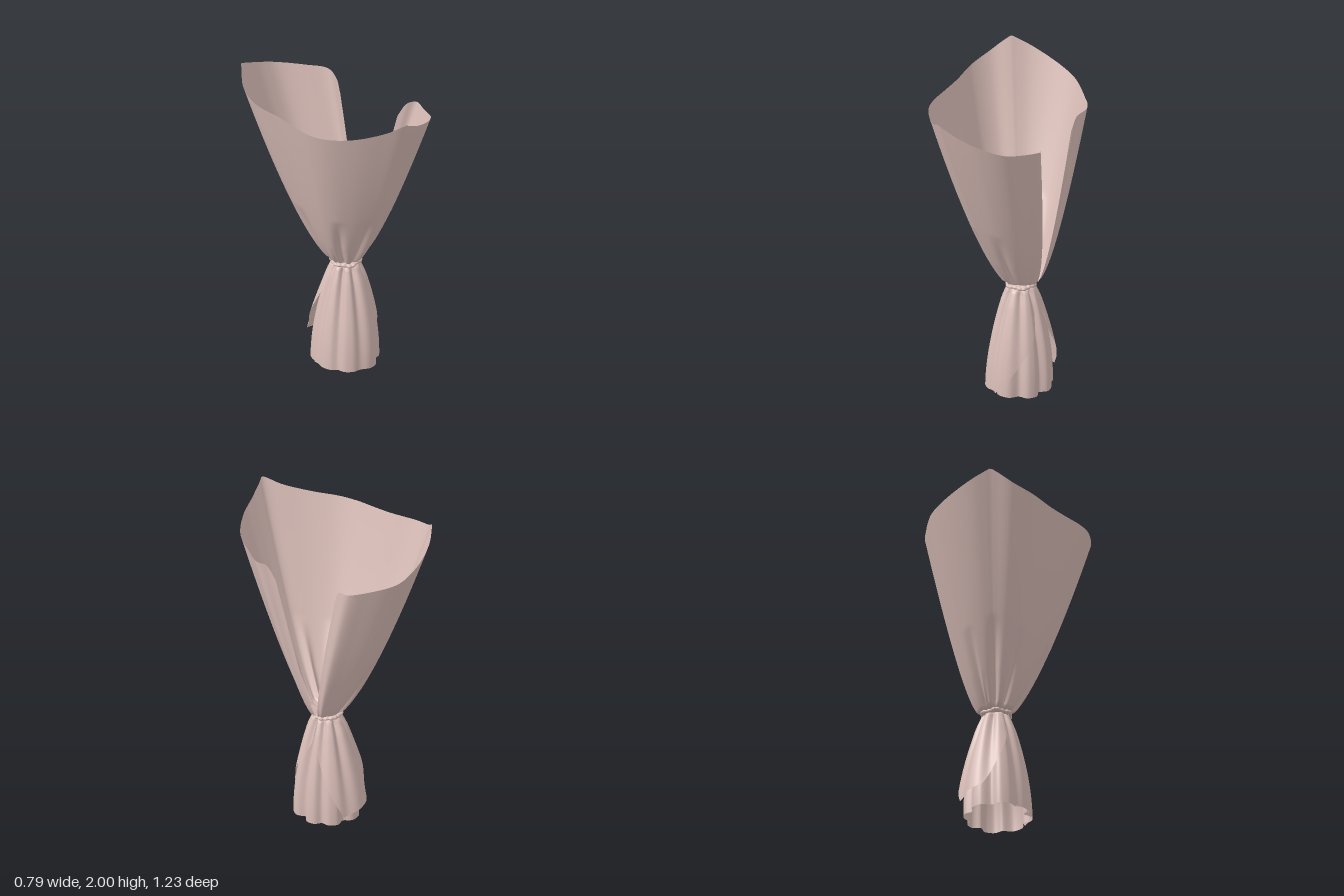
import * as THREE from 'three';
import { mergeVertices } from 'three/addons/utils/BufferGeometryUtils.js';

const CX = 0.115, CZ = -0.015, TIE_Y = 0.68;
const { lerp, smoothstep, degToRad: rad } = THREE.MathUtils;

// Grid surface from a rule (u, v) -> [x, y, z]
function sheet(name, material, nu, nv, rule) {
  const pos = [], index = [];
  for (let j = 0; j <= nv; j++)
    for (let i = 0; i <= nu; i++) pos.push(...rule(i / nu, j / nv));
  for (let j = 0; j < nv; j++)
    for (let i = 0; i < nu; i++) {
      const a = j * (nu + 1) + i, b = a + 1, c = a + nu + 1, d = c + 1;
      index.push(a, c, b, b, c, d);
    }
  let geo = new THREE.BufferGeometry();
  geo.setAttribute('position', new THREE.Float32BufferAttribute(pos, 3));
  geo.setIndex(index);
  geo = mergeVertices(geo, 1e-5);
  geo.computeVertexNormals();
  const mesh = new THREE.Mesh(geo, material);
  mesh.name = name;
  return mesh;
}

// Narrow inward creases (0 on the fold, 1 in the crease) with an irregular rhythm
const crease = (a, n) => (0.5 - 0.5 * Math.cos(n * a + 0.7 * Math.sin(2 * a + 0.5))) ** 2 * (0.8 + 0.2 * Math.sin(3 * a));

// Long creases of the upper wrap, in degrees round the tie
const LONG = [-73, -111, -150, -209, -249, -287].map(rad);
const longCrease = a => LONG.reduce((sum, c) => sum + Math.exp(-(((a - c) / 0.13) ** 2)), 0);

// Gathered radius at the tie, closing to a small throat
const gather = s => lerp(0.026, 0.078, smoothstep(s, -0.01, 0.03));

// Top rim of the wrap, from the back edge of the opening round to the front edge
const rim = new THREE.CatmullRomCurve3([
  [0.345, 1.64, -0.225], [0.362, 1.72, -0.265], [0.39, 1.745, -0.35], [0.32, 1.765, -0.455],
  [0.2, 1.80, -0.575], [0.1, 1.84, -0.608], [0, 1.885, -0.615], [-0.1, 1.938, -0.6],
  [-0.175, 1.985, -0.566], [-0.2, 2.0, -0.55], [-0.225, 1.985, -0.53],
  [-0.3, 1.92, -0.46], [-0.355, 1.88, -0.33], [-0.365, 1.86, -0.15],
  [-0.385, 1.845, 0], [-0.395, 1.84, 0.1], [-0.375, 1.845, 0.22], [-0.3, 1.865, 0.37],
  [-0.2, 1.915, 0.52], [-0.15, 1.96, 0.595], [-0.13, 1.97, 0.612], [-0.1, 1.95, 0.608],
  [0, 1.895, 0.595], [0.12, 1.85, 0.575], [0.25, 1.80, 0.51], [0.33, 1.77, 0.4],
  [0.39, 1.755, 0.3], [0.365, 1.735, 0.25], [0.345, 1.64, 0.195],
].map(p => new THREE.Vector3(...p)), false, 'centripetal');
rim.arcLengthDivisions = 600;

// Flared upper wrap, open towards +x
function upperRule(u, v) {
  const s = v * v * 0.6 + v * 0.4;
  const top = rim.getPointAt(u);
  const a = -rad(3 + 354 * u), c = Math.cos(a), n = Math.sin(a);
  const w = Math.max(0, c) ** 1.5;
  const fx = Math.pow(s, lerp(0.7, 0.42, w)), fz = Math.pow(s, lerp(0.75, 1.05, w * w));
  const fold = -smoothstep(s, -0.01, 0.04) * (1 - 0.7 * w) * (
    (0.025 + 0.14 * s) * Math.max(0, 1 - s / 0.38) * longCrease(a)
    + 0.015 * Math.max(0, 1 - s / 0.16) * crease(a, 14));
  const r = gather(s);
  return [
    lerp(CX + r * c, top.x, fx) + fold * c,
    lerp(TIE_Y, top.y, s),
    lerp(CZ + r * n, top.z, fz) + fold * n,
  ];
}

// Lower skirt surface at angle a and drop s, pushed out by extra, with folds of the given depth
function skirtPoint(a, s, extra, hem, depth) {
  const fold = depth * smoothstep(s, -0.01, 0.06) * crease(a, 8);
  const r = gather(s) + 0.122 * Math.sin(s * Math.PI / 2) ** 0.9 - fold + extra;
  return [CX - 0.008 * s * s + r * 0.98 * Math.cos(a), lerp(TIE_Y, hem, s), CZ + r * 1.06 * Math.sin(a)];
}

export function createModel() {
  const paper = new THREE.MeshStandardMaterial({ color: 0xdabeb8, side: THREE.DoubleSide });
  paper.name = 'dusty pink paper';
  const model = new THREE.Group();
  model.name = 'bouquetWrap';

  model.add(sheet('upperWrap', paper, 280, 80, upperRule));

  // Gathered skirt below the tie
  model.add(sheet('lowerSkirt', paper, 200, 50, (u, v) => {
    const a = u === 1 ? 0 : u * Math.PI * 2;
    return skirtPoint(a, v, 0, 0.012 + 0.01 * Math.cos(a - 3.3), 0.04);
  }));

  // Front overlapping layer with a diagonal edge
  model.add(sheet('frontOverlap', paper, 80, 50, (u, v) => {
    const start = lerp(5, 108, v ** 1.6);
    return skirtPoint(rad(lerp(start, 205, u)), v, 0.007 * smoothstep(v, 0, 0.2), 0.02, 0.03 - 0.012 * v);
  }));

  // Back overlapping layer narrowing to a loose tail
  model.add(sheet('backTail', paper, 70, 44, (u, v) => {
    const k = v ** 1.3;
    const a = rad(lerp(lerp(-165, -104, k), lerp(5, -56, k), u));
    return skirtPoint(a, v * 0.95, 0.007 * smoothstep(v, 0, 0.2) + 0.036 * v * v,
      lerp(0.04, 0.1, 1 - u), 0.03 - 0.012 * v);
  }));

  // Beaded tie round the waist
  const tie = new THREE.TorusGeometry(0.084, 0.011, 12, 180);
  tie.rotateX(Math.PI / 2);
  const p = tie.attributes.position;
  for (let i = 0; i < p.count; i++) {
    const x = p.getX(i), y = p.getY(i), z = p.getZ(i);
    const a = Math.atan2(z, x), k = 0.7 + 0.4 * Math.abs(Math.sin(9 * a));
    const r = 0.084 + (Math.hypot(x, z) - 0.084) * k + 0.004 * Math.cos(6 * a);
    p.setXYZ(i, r * Math.cos(a), y * k + 0.003 * Math.sin(5 * a), r * Math.sin(a));
  }
  tie.computeVertexNormals();
  const tieMesh = new THREE.Mesh(tie, paper);
  tieMesh.name = 'waistTie';
  tieMesh.position.set(CX, TIE_Y, CZ);
  model.add(tieMesh);

  return model;
}
